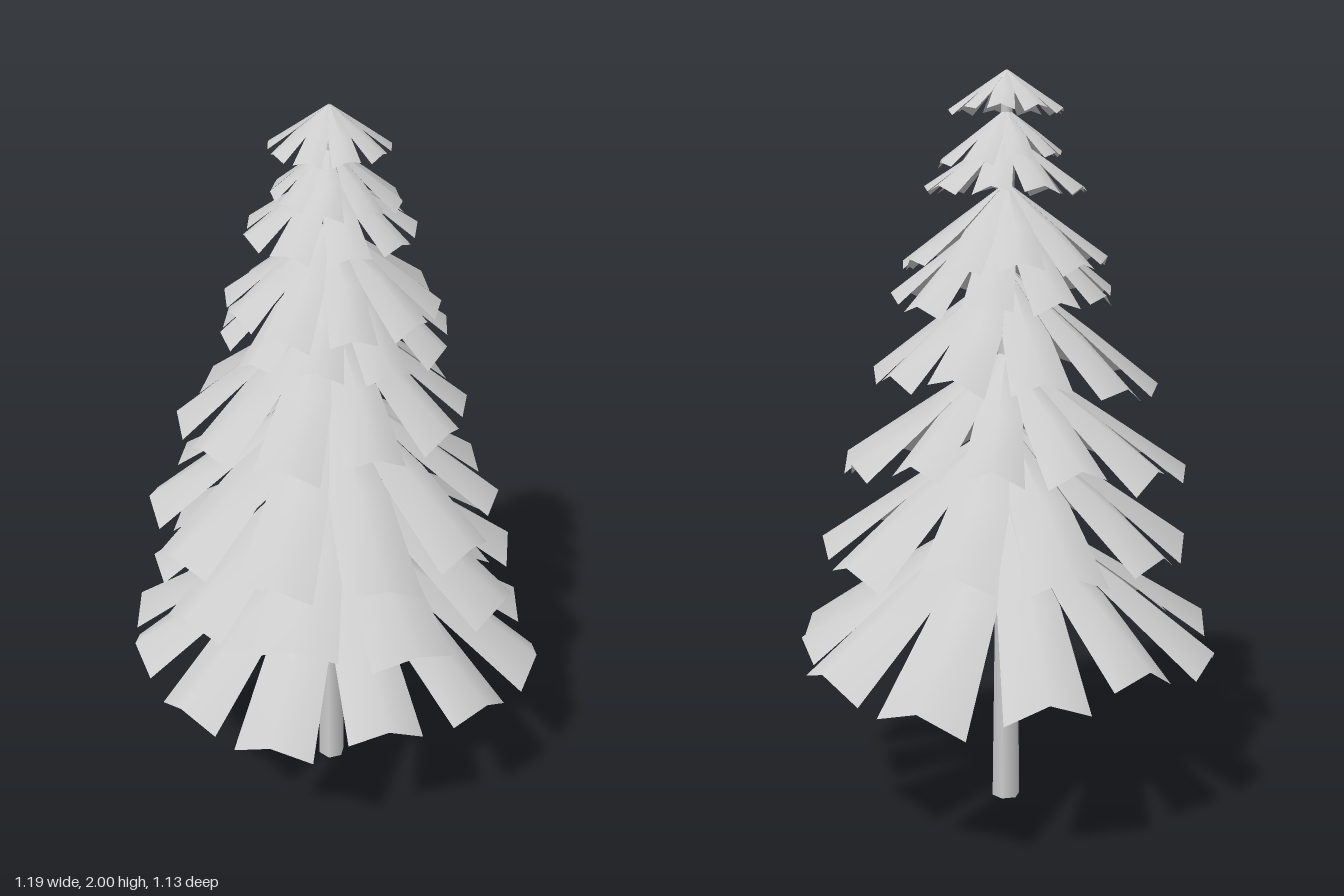
import * as THREE from 'three';

const AXIS = { x: -0.02, z: -0.015 };

function seeded(seed) {
  return () => {
    seed = (seed * 16807) % 2147483647;
    return seed / 2147483647;
  };
}

// One skirt of branches: a shallow cone split past its middle into roof-folded fronds.
// lengths sets single fronds; leanX and leanZ lengthen the fronds towards one side.
function branchTier({ hubY, radius, tipY, count, offset, lengths, leanX = 0, leanZ = 0 }, rand) {
  const positions = [];
  const indices = [];
  const step = (Math.PI * 2) / count;

  for (let i = 0; i < count; i++) {
    const centre = offset + i * step;
    const reach = 1 + leanX * Math.cos(centre) + leanZ * Math.sin(centre);
    const stretch = lengths ? lengths[i] / radius : 0.97 + rand() * 0.06;
    const droop = stretch * (0.97 + rand() * 0.08);
    const twist = (rand() - 0.5) * 0.08 * radius;
    const swing = (rand() - 0.5) * 0.06 * step;
    const base = positions.length / 3;

    // Rows from hub to tip: fraction along, half width (in steps), fold depth, variation
    for (const [t, half, fold, vary] of [[0.02, 0.5, 0, 0], [0.56, 0.5, 0.035, 0.3], [1, 0.36, 0.085, 1]]) {
      for (const side of [-1, 0, 1]) {
        const r = radius * reach * t * (1 + (stretch - 1) * vary) * (side === 0 ? 1.01 : 0.985);
        const fall = (hubY - tipY) * reach * t * (1 + (droop - 1) * vary);
        const y = hubY - fall - Math.abs(side) * fold * radius + side * twist * vary;
        const angle = centre + swing * vary + side * half * step;
        positions.push(Math.cos(angle) * r, y, Math.sin(angle) * r);
      }
    }
    for (let row = 0; row < 2; row++) {
      for (let col = 0; col < 2; col++) {
        const a = base + row * 3 + col;
        indices.push(a, a + 1, a + 4, a, a + 4, a + 3);
      }
    }
  }
  const geometry = new THREE.BufferGeometry();
  geometry.setAttribute('position', new THREE.Float32BufferAttribute(positions, 3));
  geometry.setIndex(indices);
  geometry.computeVertexNormals();
  return geometry;
}

export function createModel() {
  const tree = new THREE.Group();
  tree.name = 'coniferTree';
  const bark = new THREE.MeshStandardMaterial({ color: 0xcccccc });
  const foliage = new THREE.MeshStandardMaterial({ color: 0xcccccc, side: THREE.DoubleSide });
  const rand = seeded(4271);

  // Trunk
  const trunk = new THREE.Mesh(new THREE.CylinderGeometry(0.014, 0.039, 1.98, 6), bark);
  trunk.name = 'trunk';
  trunk.position.set(AXIS.x, 0.99, AXIS.z);
  tree.add(trunk);

  // Branch tiers from the bottom up
  const tiers = [
    { hubY: 0.86, radius: 0.575, tipY: 0.5, count: 12, offset: 0.05,
      lengths: [0.61, 0.56, 0.59, 0.575, 0.55, 0.58, 0.565, 0.56, 0.58, 0.55, 0.59, 0.63] },
    { hubY: 1.08, radius: 0.495, tipY: 0.76, count: 10, offset: 0.1, leanZ: 0.05 },
    { hubY: 1.27, radius: 0.455, tipY: 0.97, count: 11, offset: 0.43, leanX: -0.12, leanZ: 0.06 },
    { hubY: 1.49, radius: 0.375, tipY: 1.21, count: 10, offset: 0.19, leanX: -0.06, leanZ: -0.03 },
    { hubY: 1.66, radius: 0.3, tipY: 1.42, count: 10, offset: 0, leanX: 0.05 },
    { hubY: 1.71, radius: 0.275, tipY: 1.51, count: 10, offset: 0.3 },
    { hubY: 1.84, radius: 0.215, tipY: 1.7, count: 9, offset: 0.1 },
    { hubY: 1.9, radius: 0.165, tipY: 1.78, count: 9, offset: 0.35, leanX: 0.08, leanZ: 0.06 },
    { hubY: 2.0, radius: 0.148, tipY: 1.9, count: 9, offset: 0 },
  ];
  tiers.forEach((spec, i) => {
    const tier = new THREE.Mesh(branchTier(spec, rand), foliage);
    tier.name = `branchTier${i + 1}`;
    tier.position.set(AXIS.x, 0, AXIS.z);
    tree.add(tier);
  });
  return tree;
}
